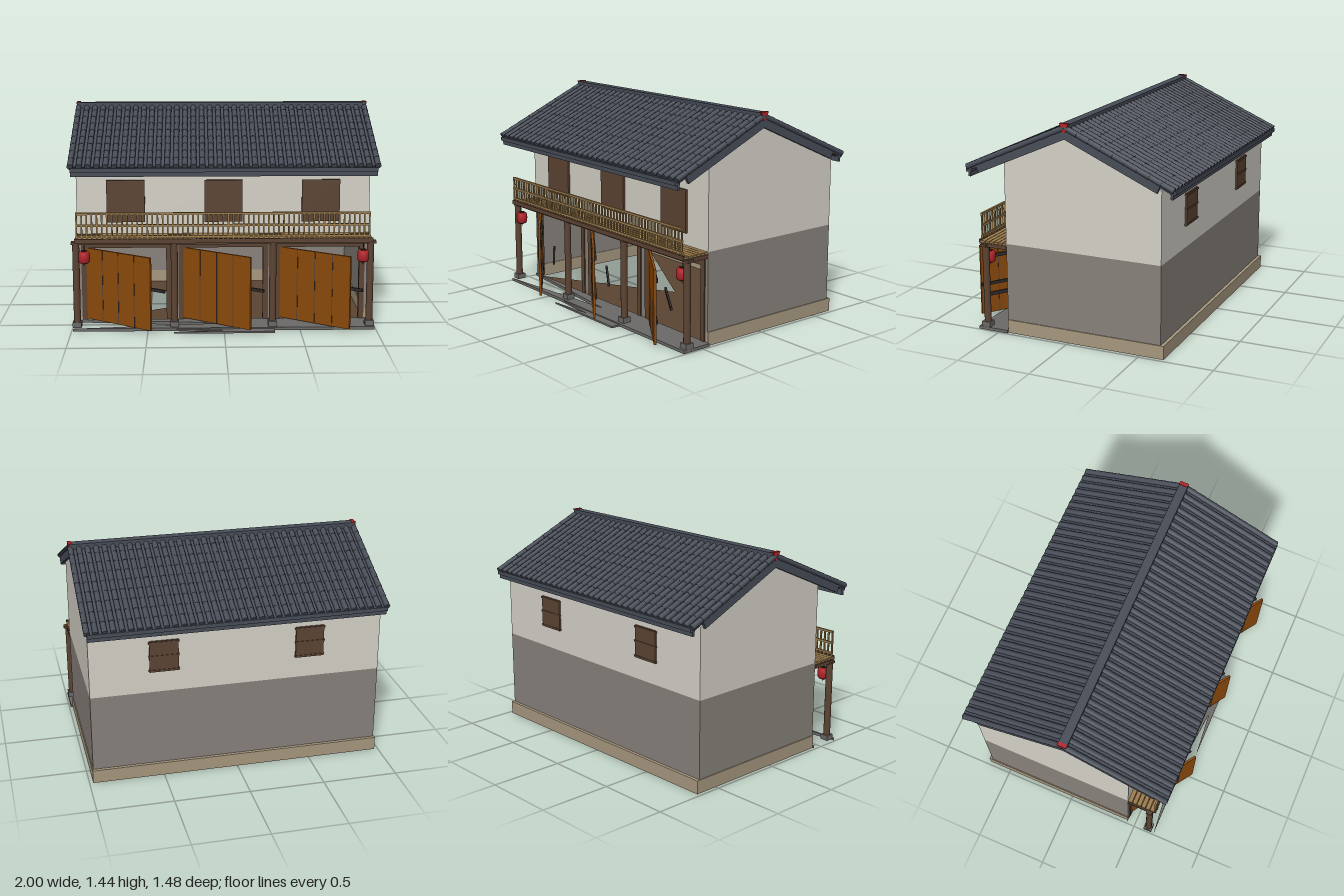
import * as THREE from 'three';
import { mergeGeometries } from 'three/addons/utils/BufferGeometryUtils.js';

const mat = (name, color, double = false) => {
  const m = new THREE.MeshStandardMaterial({ color });
  m.name = name;
  if (double) m.side = THREE.DoubleSide;
  return m;
};

export function createModel() {
  const M = {
    tile: mat('slate tile', 0x484d58),
    plaster: mat('pale plaster', 0xd5d2c8),
    brick: mat('grey brick', 0x88827b),
    plinth: mat('tan plinth', 0xa8987f),
    wood: mat('dark wood', 0x5c4433, true),
    door: mat('orange door wood', 0x8b4a0c),
    bamboo: mat('bamboo', 0x9c7c4c),
    red: mat('red paint', 0xb3252a),
    iron: mat('dark iron', 0x2f2b29),
    stone: mat('porch stone', 0x6c6a68, true),
  };
  const model = new THREE.Group();
  model.name = 'house';

  const add = (parent, name, geo, material) => {
    const m = new THREE.Mesh(geo, material);
    m.name = name;
    parent.add(m);
    return m;
  };
  // Box given by its lower and upper limits on each axis
  const boxGeo = (x0, x1, y0, y1, z0, z1) =>
    new THREE.BoxGeometry(x1 - x0, y1 - y0, z1 - z0)
      .translate((x0 + x1) / 2, (y0 + y1) / 2, (z0 + z1) / 2);
  const box = (name, material, x0, x1, y0, y1, z0, z1, parent = model) =>
    add(parent, name, boxGeo(x0, x1, y0, y1, z0, z1), material);

  // Horizontal plate with the triangle on its right side left open
  const notchedPlate = (name, material, w, z0, z1, y, depth) => {
    const s = new THREE.Shape([[-w, -z0], [0, -(z0 + z1) / 2], [-w, -z1], [w, -z1], [w, -z0]]
      .map(([a, b]) => new THREE.Vector2(a, b)));
    const g = depth ? new THREE.ExtrudeGeometry(s, { depth, bevelEnabled: false })
      : new THREE.ShapeGeometry(s);
    add(model, name, g.rotateX(-Math.PI / 2).translate(0, y, 0), material);
  };

  // Ground: floor, porch slab and step
  const F = 0.44, B = -0.64, W = 0.97;
  notchedPlate('floor', M.wood, W, B, F, 0.004, 0);
  notchedPlate('porchSlab', M.stone, 0.99, F, 0.65, 0, 0.02);
  notchedPlate('step', M.stone, 0.33, 0.65, 0.71, 0, 0.012);

  // Side walls with gables
  const roofY = (z) => 1.365 - 0.445 * Math.abs(z);
  for (const s of [-1, 1]) {
    const x0 = s > 0 ? W - 0.02 : -W, x1 = x0 + 0.02;
    box('sideLowerWall', M.brick, x0, x1, 0.09, 0.61, B, F);
    box('sidePlinth', M.plinth, x0 - 0.006, x1 + 0.006, 0, 0.09, B - 0.005, F);
    const gable = new THREE.Shape([[B, 0.61], [F, 0.61], [F, roofY(F)], [0, roofY(0)], [B, roofY(B)]]
      .map(([a, b]) => new THREE.Vector2(a, b)));
    const g = new THREE.ExtrudeGeometry(gable, { depth: 0.02, bevelEnabled: false });
    add(model, 'gableWall', g.rotateY(-Math.PI / 2).translate(x1, 0, 0), M.plaster);
  }

  // Back wall, with plinth and two shutters
  box('backLowerWall', M.brick, -W, W, 0.09, 0.61, B, B + 0.02);
  box('backUpperWall', M.plaster, -W, W, 0.61, roofY(B), B, B + 0.02);
  box('backPlinth', M.plinth, -0.976, 0.976, 0, 0.09, B - 0.022, B + 0.025);
  for (const x of [-0.485, 0.485]) {
    box('backShutter', M.wood, x - 0.095, x + 0.095, 0.755, 0.97, B - 0.012, B);
    for (const y of [0.765, 0.865, 0.96])
      box('backShutterRail', M.wood, x - 0.1, x + 0.1, y - 0.006, y + 0.006, B - 0.016, B);
  }

  // Front wall above the doorways, and its shutters
  box('frontUpperWall', M.plaster, -W, W, 0.61, roofY(F), F - 0.02, F);
  box('frontLowerWall', M.brick, -W, W, 0.515, 0.61, F - 0.02, F);
  const bays = [-0.645, 0, 0.645];
  for (const x of bays) {
    box('frontShutter', M.wood, x - 0.126, x + 0.126, 0.69, 0.97, F, F + 0.015);
    // Door frame
    box('doorLintel', M.wood, x - 0.3, x + 0.3, 0.515, 0.558, F - 0.025, F + 0.008);
    for (const s of [-1, 1])
      box('doorJamb', M.wood, x + s * 0.282 - 0.018, x + s * 0.282 + 0.018, 0.02, 0.52, F - 0.025, F + 0.008);
  }
  for (const [x0, x1] of [[-W, -0.925], [-0.36, -0.285], [0.285, 0.36], [0.925, W]])
    box('frontPier', M.brick, x0, x1, 0.02, 0.52, F - 0.02, F);

  // Doors standing ajar; local x runs along the leaf, -z is the inner side
  for (const x of bays) {
    const door = new THREE.Group();
    door.name = 'door';
    door.position.set(x - 0.27, 0, F);
    door.rotation.y = -0.6;
    box('doorLeaf', M.door, 0, 0.53, 0.03, 0.515, -0.012, 0.004, door);
    for (const t of [0.14, 0.27, 0.4])
      box('plankJoint', M.wood, t - 0.003, t + 0.003, 0.03, 0.515, -0.014, 0.006, door);
    for (const y of [0.165, 0.435])
      box('doorStrap', M.iron, 0.03, 0.5, y - 0.012, y + 0.012, -0.024, -0.012, door);
    box('doorBar', M.iron, 0.15, 0.57, 0.264, 0.284, -0.108, -0.094, door);
    model.add(door);
  }

  // Porch columns on stone blocks
  for (const x of [-0.965, -0.325, 0.32, 0.96]) {
    box('columnBase', M.stone, x - 0.029, x + 0.029, 0.02, 0.055, 0.57, 0.63);
    add(model, 'column', new THREE.CylinderGeometry(0.023, 0.023, 0.53, 16).translate(x, 0.32, 0.6), M.wood);
    box('crossBeam', M.wood, x - 0.014, x + 0.014, 0.57, 0.594, F, 0.62);
  }
  box('porchBeam', M.wood, -0.995, 0.995, 0.575, 0.592, 0.58, 0.62);

  // Balcony floor and railing
  box('balconyUnderside', M.wood, -W, W, 0.588, 0.6, F, 0.63);
  for (let i = 0; i < 6; i++)
    box('balconyPlank', M.bamboo, -W, W, 0.6, 0.61, F + i * 0.032, F + i * 0.032 + 0.028);
  box('balconyEdge', M.wood, -W, W, 0.588, 0.618, 0.628, 0.642);
  for (const y of [0.632, 0.705, 0.783])
    box('handrail', M.bamboo, -0.96, 0.95, y - 0.007, y + 0.007, 0.624, 0.638);
  const balusters = [];
  for (let i = 0; i <= 58; i++) {
    const x = -0.955 + i * 1.9 / 58;
    balusters.push(boxGeo(x - 0.005, x + 0.005, 0.612, 0.78, 0.626, 0.636));
  }
  add(model, 'balusters', mergeGeometries(balusters), M.bamboo);

  // Lanterns
  const lanternProfile = [[0, 0.452], [0.03, 0.452], [0.037, 0.465], [0.039, 0.49], [0.037, 0.515], [0.03, 0.528], [0, 0.528]]
    .map(([r, y]) => new THREE.Vector2(r, y));
  for (const x of [-0.912, 0.912]) {
    add(model, 'lantern', new THREE.LatheGeometry(lanternProfile, 16).translate(x, 0, 0.6), M.red);
    for (const y of [0.45, 0.53])
      add(model, 'lanternCap', new THREE.CylinderGeometry(0.018, 0.018, 0.008, 12).translate(x, y, 0.6), M.iron);
    add(model, 'lanternCord', new THREE.CylinderGeometry(0.003, 0.003, 0.15, 6).translate(x, 0.505, 0.6), M.iron);
  }

  // Roof: each slope is built along local z from the ridge to the eave
  const slopeAngle = Math.atan(0.445), rows = 9;
  for (const [turn, len] of [[0, 0.768], [Math.PI, 0.79]]) {
    const half = new THREE.Group();
    half.name = turn ? 'backRoof' : 'frontRoof';
    half.rotation.y = turn;
    const slope = new THREE.Group();
    slope.name = 'roofSlope';
    slope.position.y = 1.405;
    slope.rotation.x = slopeAngle;
    box('roofDeck', M.tile, -0.985, 0.985, -0.018, 0.003, 0, len - 0.01, slope);
    box('eaveSoffit', M.wood, -0.97, 0.97, -0.024, -0.018, 0.02, len - 0.03, slope);
    for (const x of [-0.98, 0.98])
      box('bargeboard', M.tile, x - 0.01, x + 0.01, -0.058, 0, -0.01, 0.7, slope);
    const step = len / rows, barrels = [];
    for (let r = 0; r < rows; r++)
      barrels.push(new THREE.CylinderGeometry(0.0195, 0.0175, step, 10)
        .rotateX(Math.PI / 2).translate(0, 0.009, (r + 0.5) * step));
    const barrel = mergeGeometries(barrels);
    for (let i = 0; i < 36; i++)
      add(slope, 'tileRow', barrel, M.tile).position.x = -0.98 + i * 1.96 / 35;
    half.add(slope);
    // Eave gutter
    const z = len * 0.914 - 0.02;
    box('gutter', M.tile, -0.98, 0.98, 1.036, 1.09, z, z + 0.016, half);
    box('gutterTop', M.tile, -0.98, 0.98, 1.066, 1.092, z - 0.005, z + 0.032, half);
    model.add(half);
  }

  // Ridge cap and red end ornaments
  box('ridgeCap', M.tile, -0.985, 0.985, 1.4, 1.437, -0.03, 0.03);
  const wedge = new THREE.Shape([[-0.008, 1.385], [0.008, 1.385], [0.031, 1.442], [-0.031, 1.442]]
    .map(([a, b]) => new THREE.Vector2(a, b)));
  for (const x of [-0.968, 0.995]) {
    const g = new THREE.ExtrudeGeometry(wedge, { depth: 0.025, bevelEnabled: false });
    add(model, 'ridgeOrnament', g.rotateY(-Math.PI / 2).translate(x, 0, 0), M.red);
  }
  return model;
}
